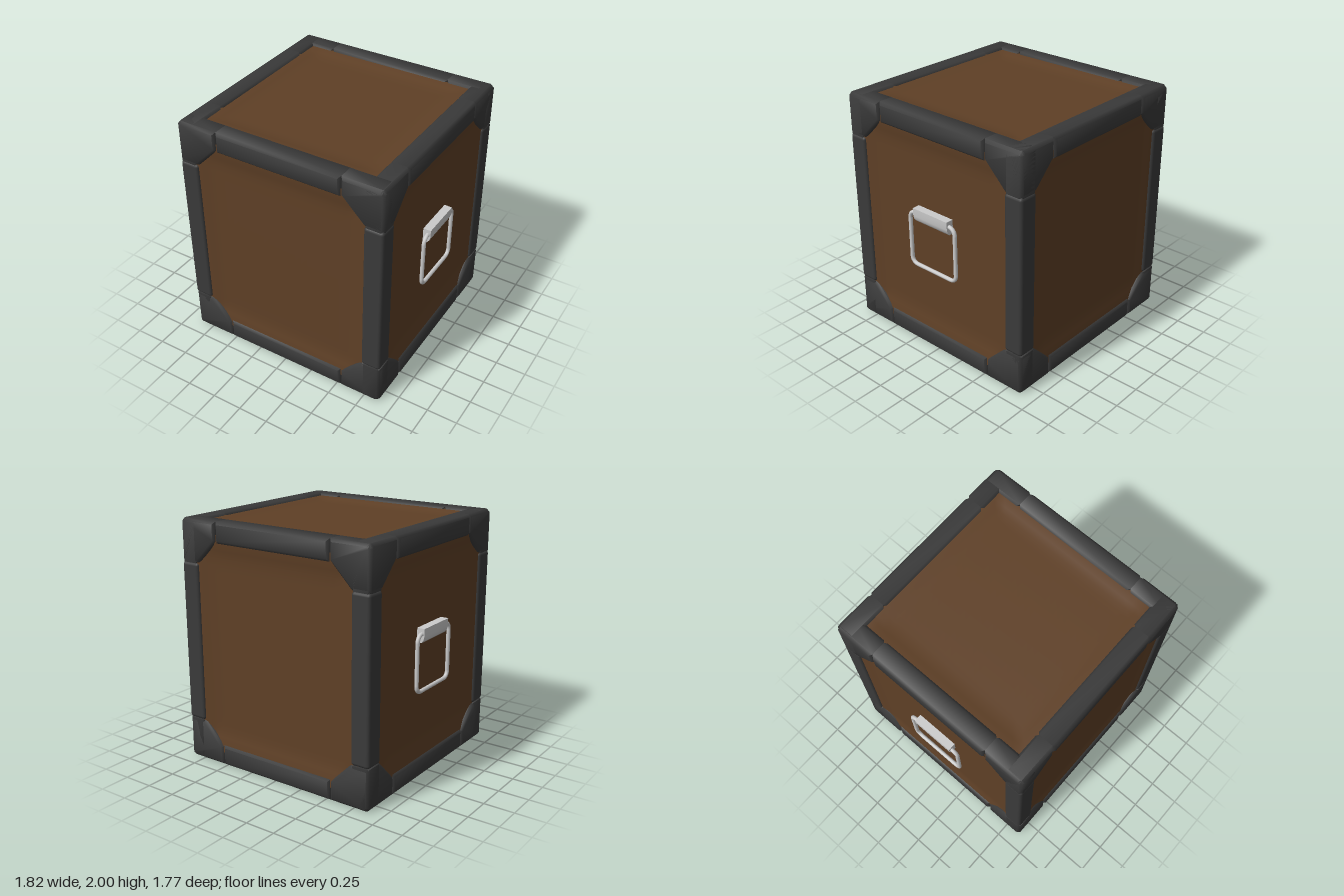
import * as THREE from 'three';
import { toCreasedNormals } from 'three/addons/utils/BufferGeometryUtils.js';
import { RoundedBoxGeometry } from 'three/addons/geometries/RoundedBoxGeometry.js';

const OUT = 0.885, IN = 0.723, BEVEL = 0.022; // frame outer face, inner face, edge chamfer
const REACH = 0.535, CORNER_Y = 0.655, BAR_Y = 0.83; // corner extents, measured from the crate centre

const frameMat = new THREE.MeshStandardMaterial({ color: 0x3a3a3a });
const woodMat = new THREE.MeshStandardMaterial({ color: 0x5f4026 });
const metalMat = new THREE.MeshStandardMaterial({ color: 0xcccccc });

function mesh(name, geometry, material) {
  const m = new THREE.Mesh(geometry, material);
  m.name = name;
  return m;
}

// Chamfered plate lying in the front layer of the frame
function plate(name, points) {
  const shape = new THREE.Shape(points.map(([x, y]) => new THREE.Vector2(x, y)));
  const geo = new THREE.ExtrudeGeometry(shape, {
    depth: OUT - IN - 2 * BEVEL, bevelThickness: BEVEL, bevelSize: BEVEL, bevelOffset: -BEVEL, bevelSegments: 1,
  });
  geo.translate(0, 0, IN + BEVEL);
  return mesh(name, toCreasedNormals(geo, 0.9), frameMat);
}

// Slightly dished panel whose rim rises towards the frame
function panel(name, halfH, openH, depth) {
  const halfW = 0.78, openW = IN;
  const geo = new THREE.PlaneGeometry(halfW * 2, halfH * 2, 28, 28);
  const p = geo.attributes.position;
  for (let i = 0; i < p.count; i++) {
    const edge = Math.min(openW - Math.abs(p.getX(i)), openH - Math.abs(p.getY(i)));
    const t = THREE.MathUtils.clamp(1 - edge / 0.15, 0, 1);
    p.setZ(i, depth + 0.022 * t * t);
  }
  geo.computeVertexNormals();
  return mesh(name, geo, woodMat);
}

// Ring pull hanging from a clamp, facing +z
function handle() {
  const g = new THREE.Group();
  const w = 0.237, lo = -0.265, hi = 0.195, r = 0.055;
  const path = new THREE.Path();
  path.moveTo(-w + r, lo);
  path.lineTo(w - r, lo);
  path.absarc(w - r, lo + r, r, -Math.PI / 2, 0);
  path.lineTo(w, hi - r);
  path.absarc(w - r, hi - r, r, 0, Math.PI / 2);
  path.lineTo(-w + r, hi);
  path.absarc(-w + r, hi - r, r, Math.PI / 2, Math.PI);
  path.lineTo(-w, lo + r);
  path.absarc(-w + r, lo + r, r, Math.PI, Math.PI * 1.5);
  const pts = path.getSpacedPoints(64).slice(0, -1).map((p) => new THREE.Vector3(p.x, p.y, 0.885));
  const curve = new THREE.CatmullRomCurve3(pts, true);
  g.add(mesh('handleRing', new THREE.TubeGeometry(curve, 128, 0.0165, 10, true), metalMat));

  // Clamp profile: x is the distance from the crate centre, y the height
  const profile = [[0.83, 0.125], [0.885, 0.125], [0.9, 0.145], [0.908, 0.175], [0.91, 0.24], [0.83, 0.24]];
  const shape = new THREE.Shape(profile.map(([x, y]) => new THREE.Vector2(x, y)));
  const geo = new THREE.ExtrudeGeometry(shape, { depth: 0.36, bevelEnabled: false });
  geo.translate(0, 0, -0.18);
  geo.rotateY(-Math.PI / 2);
  g.add(mesh('handleClamp', toCreasedNormals(geo, 0.95), metalMat));
  return g;
}

export function createModel() {
  const crate = new THREE.Group();
  crate.name = 'crate';
  const body = new THREE.Group();
  body.name = 'crateBody';
  body.position.y = 1;
  crate.add(body);

  // Four identical sides: panel, rails, gusseted corners and one post each
  ['front', 'left', 'back', 'right'].forEach((name, k) => {
    const side = new THREE.Group();
    side.name = name + 'Side';
    side.rotation.y = k * Math.PI / 2;
    side.add(panel('sidePanel', 0.9, BAR_Y, 0.845));
    for (const sy of [1, -1]) {
      side.add(plate(sy > 0 ? 'topRail' : 'bottomRail', [
        [-REACH, sy * BAR_Y], [REACH, sy * BAR_Y], [REACH, sy], [-REACH, sy],
      ]));
      for (const sx of [1, -1]) {
        side.add(plate('cornerBracket', [
          [REACH, 1], [OUT - 0.028, 1], [OUT, 0.972], [OUT, CORNER_Y],
          [IN, CORNER_Y], [REACH + 0.005, BAR_Y + 0.01], [REACH, BAR_Y + 0.015],
        ].map(([x, y]) => [x * sx, y * sy])));
      }
    }
    const post = mesh('cornerPost', new RoundedBoxGeometry(OUT - IN, CORNER_Y * 2, OUT - IN, 2, 0.025), frameMat);
    post.position.set((OUT + IN) / 2, 0, (OUT + IN) / 2);
    side.add(post);
    body.add(side);
  });

  // Lid and base panels
  const lid = panel('lidPanel', 0.78, IN, 0.96);
  lid.rotation.x = -Math.PI / 2;
  const base = panel('basePanel', 0.78, IN, 0.96);
  base.rotation.x = Math.PI / 2;
  body.add(lid, base);

  // Handles on the left and right sides
  for (const s of [1, -1]) {
    const h = handle();
    h.name = s > 0 ? 'leftHandle' : 'rightHandle';
    h.rotation.y = s * Math.PI / 2;
    body.add(h);
  }
  return crate;
}
